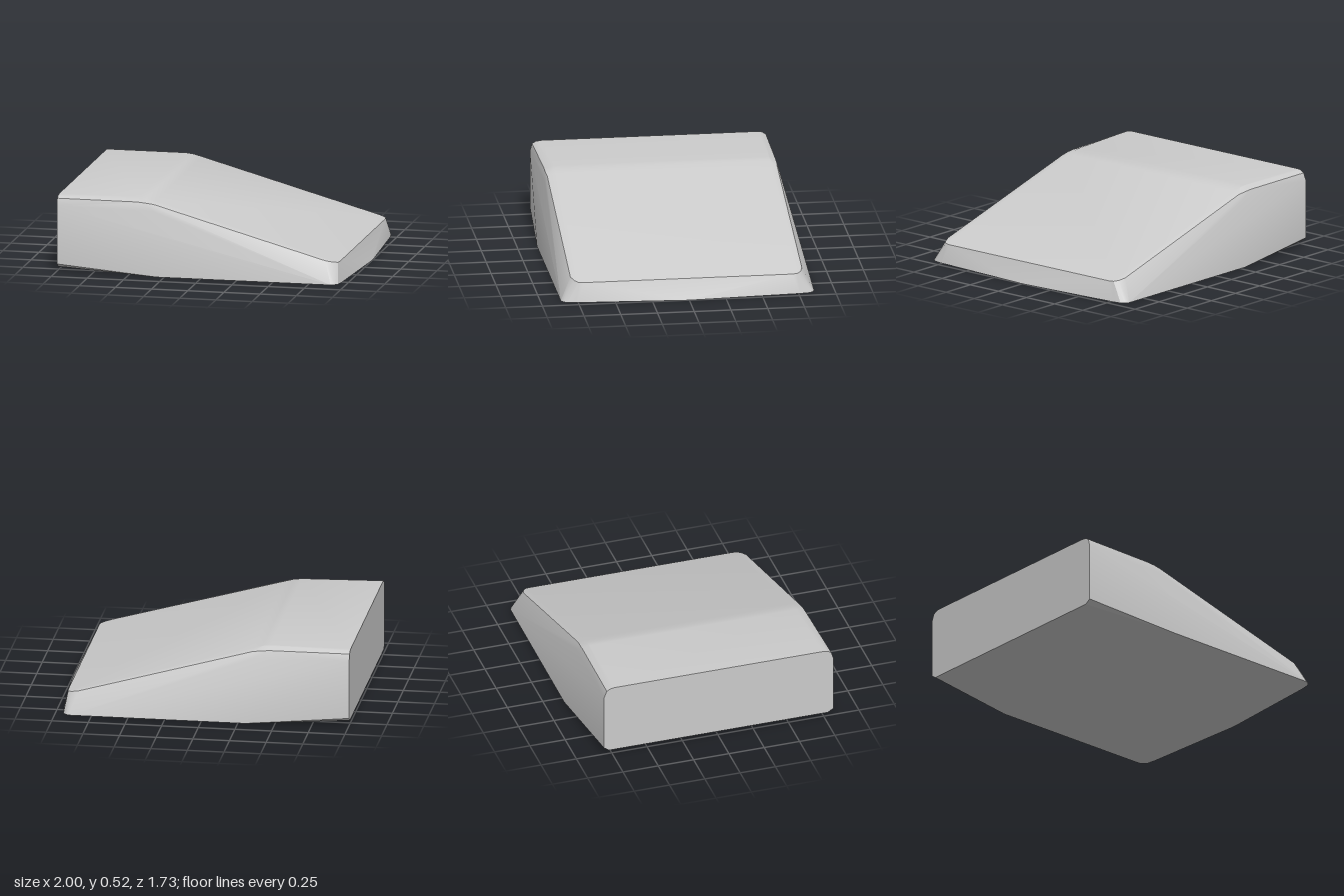
import * as THREE from 'three';
import { ConvexGeometry } from 'three/addons/geometries/ConvexGeometry.js';
import { toCreasedNormals } from 'three/addons/utils/BufferGeometryUtils.js';

// Cross-sections along x: each lists [y, z on +z side, z on -z side]
const SECTIONS = [
  // flat back end
  { x: -1, ring: [[0.025, 0.78, -0.77], [0.05, 0.82, -0.805], [0.45, 0.82, -0.805], [0.5, 0.805, -0.785], [0.515, 0.78, -0.76], [0.52, 0.74, -0.735]] },
  // rounded break between the flat top and the slope
  { x: -0.45, ring: [[0.52, 0.73, -0.735], [0.497, 0.795, -0.78]] },
  { x: -0.4, ring: [[0.514, 0.73, -0.735], [0.492, 0.795, -0.78]] },
  { x: -0.34, ring: [[0.498, 0.73, -0.735], [0.484, 0.79, -0.775], [0.44, 0.805, -0.795]] },
  // widest part of the base
  { x: -0.3, ring: [[0, 0.865, -0.865]] },
  // nose: sloping end with clipped corners
  { x: 0.85, ring: [[0.15, 0.79, -0.785]] },
  { x: 0.9, ring: [[0, 0.862, -0.862], [0.139, 0.77, -0.77]] },
  { x: 0.925, ring: [[0, 0.85, -0.85], [0.134, 0.745, -0.745]] },
  { x: 0.93, ring: [[0.132, 0.71, -0.71]] },
  { x: 0.945, ring: [[0, 0.825, -0.825]] },
  { x: 0.955, ring: [[0, 0.76, -0.76]] },
  { x: 1, ring: [[0, 0.02, -0.02]] },
];

export function createModel() {
  const group = new THREE.Group();
  group.name = 'wedgeBlock';

  const points = [];
  for (const { x, ring } of SECTIONS) {
    for (const [y, zFront, zBack] of ring) {
      points.push(new THREE.Vector3(x, y, zFront), new THREE.Vector3(x, y, zBack));
    }
  }

  // Solid wedge skinned over the sections, soft across shallow edges
  const geometry = toCreasedNormals(new ConvexGeometry(points), 0.4);
  const body = new THREE.Mesh(geometry, new THREE.MeshStandardMaterial({ color: 0xcccccc }));
  body.name = 'wedgeBody';
  group.add(body);
  return group;
}
